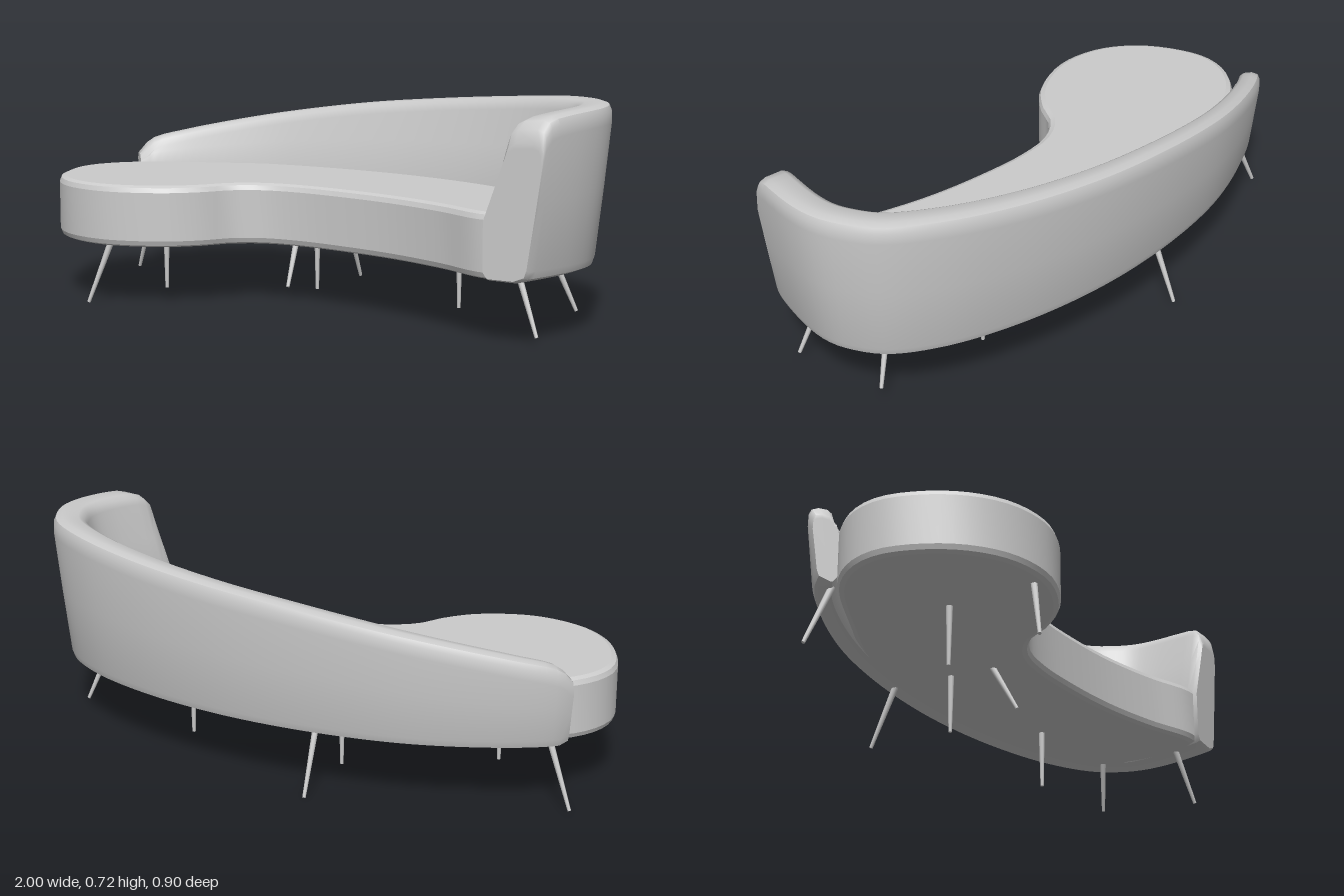
import * as THREE from 'three';
import { toCreasedNormals, mergeVertices } from 'three/addons/utils/BufferGeometryUtils.js';

const material = new THREE.MeshStandardMaterial({ color: 0xcccccc });
const V = (x, y, z) => new THREE.Vector3(x, y, z);

function addMesh(group, name, geometry) {
  const mesh = new THREE.Mesh(geometry, material);
  mesh.name = name;
  group.add(mesh);
  return mesh;
}

// Kidney-shaped cushion; its rear edge is tucked into the backrest
function seatGeometry() {
  const outline = [
    [-1, 0.1], [-0.975, -0.02], [-0.88, -0.13], [-0.62, -0.25], [-0.4, -0.33], [-0.15, -0.36],
    [0.1, -0.35], [0.35, -0.29], [0.6, -0.2], [0.8, -0.06], [0.83, 0.1], [0.8, 0.28],
    [0.755, 0.345], [0.69, 0.335], [0.55, 0.27], [0.35, 0.203], [0.15, 0.163], [-0.05, 0.143],
    [-0.18, 0.157], [-0.27, 0.21], [-0.33, 0.3], [-0.43, 0.39], [-0.62, 0.45], [-0.8, 0.41],
    [-0.93, 0.29],
  ].map(([x, z]) => V(x, -z, 0));
  const points = new THREE.CatmullRomCurve3(outline, true).getSpacedPoints(110);
  points.pop();
  const shape = new THREE.Shape(points.map((p) => new THREE.Vector2(p.x, p.y)));
  const bevel = 0.022;
  const geometry = new THREE.ExtrudeGeometry(shape, {
    depth: 0.205 - 2 * bevel, bevelThickness: bevel, bevelSize: bevel, bevelOffset: -bevel, bevelSegments: 2,
  });
  geometry.rotateX(-Math.PI / 2).translate(0, 0.2 + bevel, 0);
  return toCreasedNormals(geometry, 0.35);
}

// Backrest: one section swept along the outer rim; y of the path is the top height
function backGeometry() {
  const rim = new THREE.CatmullRomCurve3([
    V(-0.95, 0.445, -0.185), V(-0.91, 0.482, -0.225), V(-0.8, 0.514, -0.29), V(-0.6, 0.557, -0.37),
    V(-0.4, 0.592, -0.42), V(-0.1, 0.634, -0.447), V(0.2, 0.664, -0.432), V(0.5, 0.69, -0.37),
    V(0.75, 0.71, -0.272), V(0.91, 0.716, -0.155), V(0.98, 0.717, -0.03), V(0.999, 0.716, 0.06),
    V(0.992, 0.713, 0.16), V(0.968, 0.706, 0.26), V(0.947, 0.694, 0.325), V(0.938, 0.672, 0.347),
    V(0.933, 0.63, 0.36),
  ]);
  const count = 72;
  const stations = [[0, 0], [0, 0.8]];
  for (let i = 0; i <= count; i++) {
    stations.push([i / count, i === 0 ? 0.9 : i === count ? 0.97 : 1]);
  }
  stations.push([1, 0.9], [1, 0]);

  const positions = [], indices = [];
  let ring = 0;
  for (const [u, scale] of stations) {
    const p = rim.getPointAt(u);
    const tangent = rim.getTangentAt(u);
    const inward = V(-tangent.z, 0, tangent.x).normalize();
    if (u > 0.85) inward.lerp(V(-1, 0, 0), (u - 0.85) / 0.15).normalize();
    const h = p.y;
    const top = 0.075 + 0.05 * u;
    const foot = Math.min(0.09 + 0.16 * u, 0.2);
    const lean = 0.02 + 0.03 * u;
    // Each entry: distance in from the rim, height
    const section = [
      [lean + 0.045, 0.2], [lean + 0.008, 0.215], [lean, 0.238], [lean * 0.45, 0.2 + (h - 0.2) * 0.5],
      [0, h - 0.06], [0.001, h - 0.025], [0.009, h - 0.007], [0.03, h],
      [top * 0.75, h - 0.004], [top * 0.93, h - 0.016], [top, h - 0.04],
      [top + (foot - top) * 0.4, 0.38 + (h - 0.38) * 0.5], [foot, 0.38], [foot, 0.22], [foot - 0.015, 0.2],
    ];
    ring = section.length;
    const midD = foot / 2, midY = (h + 0.2) / 2;
    for (const [d, y] of section) {
      const q = p.clone().addScaledVector(inward, midD + (d - midD) * scale);
      positions.push(q.x, midY + (y - midY) * scale, q.z);
    }
  }
  for (let i = 0; i < stations.length - 1; i++) {
    for (let j = 0; j < ring; j++) {
      const a = i * ring + j, b = i * ring + (j + 1) % ring;
      indices.push(a, b, a + ring, b, b + ring, a + ring);
    }
  }
  const geometry = new THREE.BufferGeometry();
  geometry.setAttribute('position', new THREE.Float32BufferAttribute(positions, 3));
  geometry.setIndex(indices);
  return toCreasedNormals(mergeVertices(geometry), 0.8);
}

// Tapered leg between two points
function addLeg(group, name, top, foot) {
  const axis = top.clone().sub(foot);
  const leg = addMesh(group, name, new THREE.CylinderGeometry(0.011, 0.006, axis.length(), 8));
  leg.position.copy(top).add(foot).multiplyScalar(0.5);
  leg.quaternion.setFromUnitVectors(V(0, 1, 0), axis.normalize());
}

export function createModel() {
  const model = new THREE.Group();
  model.name = 'curvedSofa';
  addMesh(model, 'seat', seatGeometry());
  addMesh(model, 'backrest', backGeometry());

  const legs = new THREE.Group();
  legs.name = 'legs';
  // Splayed legs around the edge
  addLeg(legs, 'rightRearLeg', V(-0.87, 0.21, -0.155), V(-0.953, 0.003, -0.192));
  addLeg(legs, 'rightFrontLeg', V(-0.63, 0.205, 0.4), V(-0.69, 0.003, 0.448));
  addLeg(legs, 'middleRearLeg', V(-0.155, 0.21, -0.355), V(-0.155, 0.003, -0.445));
  addLeg(legs, 'middleFrontLeg', V(-0.145, 0.21, 0.0), V(-0.13, 0.05, 0.085));
  addLeg(legs, 'leftFrontLeg', V(0.8, 0.21, 0.243), V(0.88, 0.025, 0.278));
  addLeg(legs, 'leftRearLeg', V(0.79, 0.21, -0.038), V(0.855, 0.045, -0.07));
  // Straight supports under the middle
  for (const [x, z] of [[-0.615, 0.105], [-0.155, -0.146], [0.42, -0.102]]) {
    addLeg(legs, 'supportLeg', V(x, 0.21, z), V(x, 0.003, z));
  }
  model.add(legs);
  return model;
}
